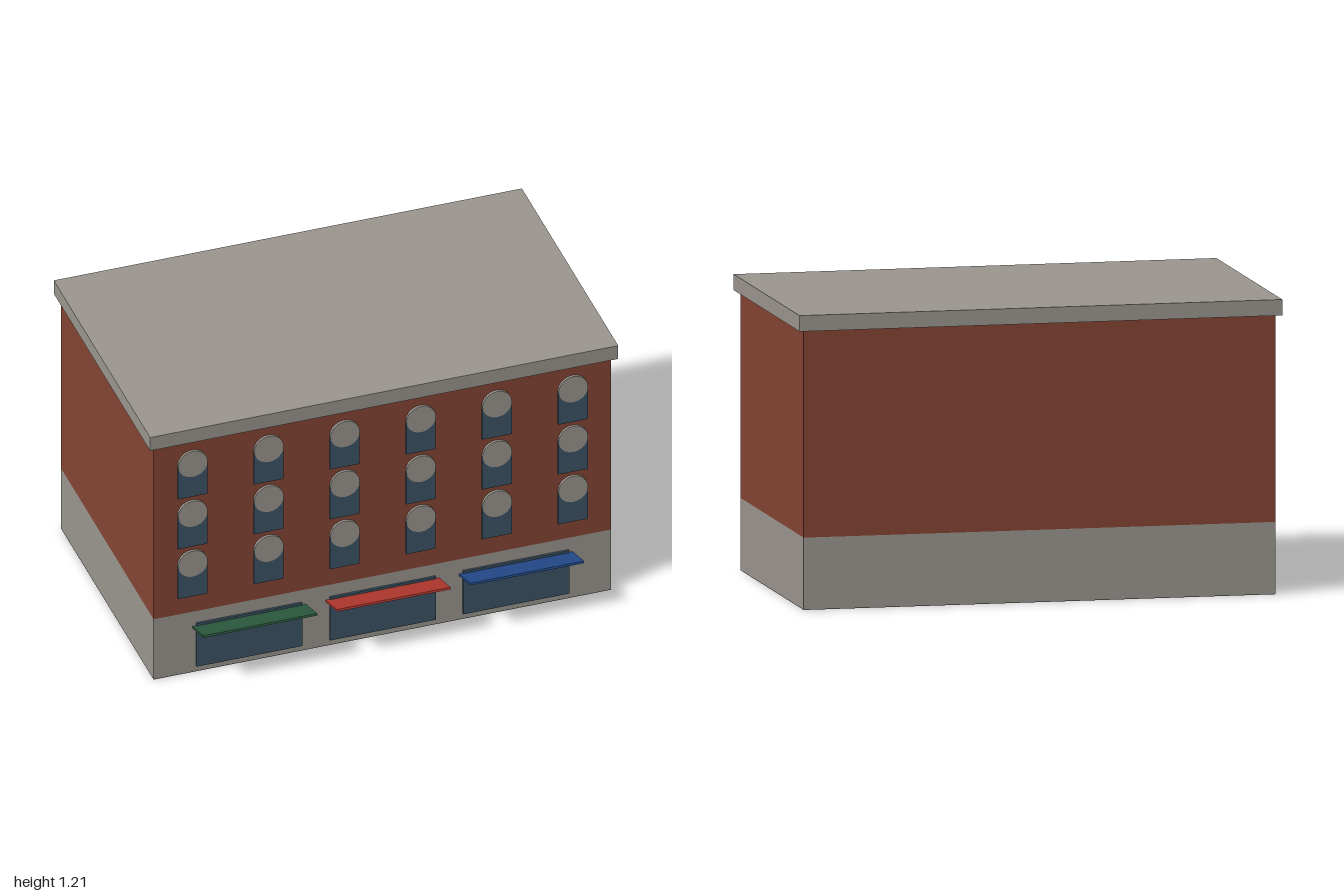
import * as THREE from 'three';

const paint = (name, color) => {
  const m = new THREE.MeshStandardMaterial({ color });
  m.name = name;
  return m;
};

export function createModel() {
  const stone = paint('stone', 0x9a958e);
  const brick = paint('brick', 0x844433);
  const glass = paint('glass', 0x3c5364);
  const dark = paint('foundation dark', 0x303030);
  const awningColors = [
    paint('green canvas', 0x2d5a40),
    paint('red canvas', 0xb2382f),
    paint('blue canvas', 0x244a8c),
  ];
  const model = new THREE.Group();
  model.name = 'shopBuilding';

  const add = (name, geometry, material, x, y, z, parent = model) => {
    const mesh = new THREE.Mesh(geometry, material);
    mesh.name = name;
    mesh.position.set(x, y, z);
    parent.add(mesh);
    return mesh;
  };
  // Box given by its bottom and top heights and back and front depths
  const block = (name, material, x, width, y0, y1, z0, z1, parent) =>
    add(name, new THREE.BoxGeometry(width, y1 - y0, z1 - z0), material,
      x, (y0 + y1) / 2, (z0 + z1) / 2, parent);

  // Main volumes
  const back = -0.628, front = 0.51;
  block('foundation', dark, 0, 1.954, 0, 0.002, back, front);
  block('groundFloor', stone, 0, 1.954, 0.002, 0.295, back, front);
  block('upperFloors', brick, 0, 1.954, 0.295, 1.14, back, front);
  block('roofCornice', stone, 0, 2, 1.14, 1.205, -0.653, 0.533);

  // Three rows of six windows, each with a round stone head
  const headShape = new THREE.CylinderGeometry(0.063, 0.063, 0.011, 20);
  headShape.rotateX(Math.PI / 2);
  for (let row = 0; row < 3; row++) {
    for (let col = 0; col < 6; col++) {
      const x = (col - 2.5) * 0.325;
      const y = 0.376 + row * 0.244;
      const unit = new THREE.Group();
      unit.name = 'upperWindow';
      model.add(unit);
      block('windowPane', glass, x, 0.126, y, y + 0.162, front, front + 0.008, unit);
      add('windowHead', headShape, stone, x, y + 0.161, front + 0.0055, unit);
    }
  }

  // Shop fronts with awnings that tilt up towards the street
  const rise = 0.043, reach = 0.138;
  const awningShape = new THREE.BoxGeometry(0.486, 0.009, Math.hypot(rise, reach));
  awningColors.forEach((canvas, i) => {
    const x = (i - 1) * 0.57;
    const shop = new THREE.Group();
    shop.name = 'shopFront';
    model.add(shop);
    block('shopWindow', glass, x, 0.453, 0.028, 0.238, front, front + 0.009, shop);
    const awning = add('awning', awningShape, canvas, x, 0.243, 0.583, shop);
    awning.rotation.x = -Math.atan2(rise, reach);
  });

  return model;
}
